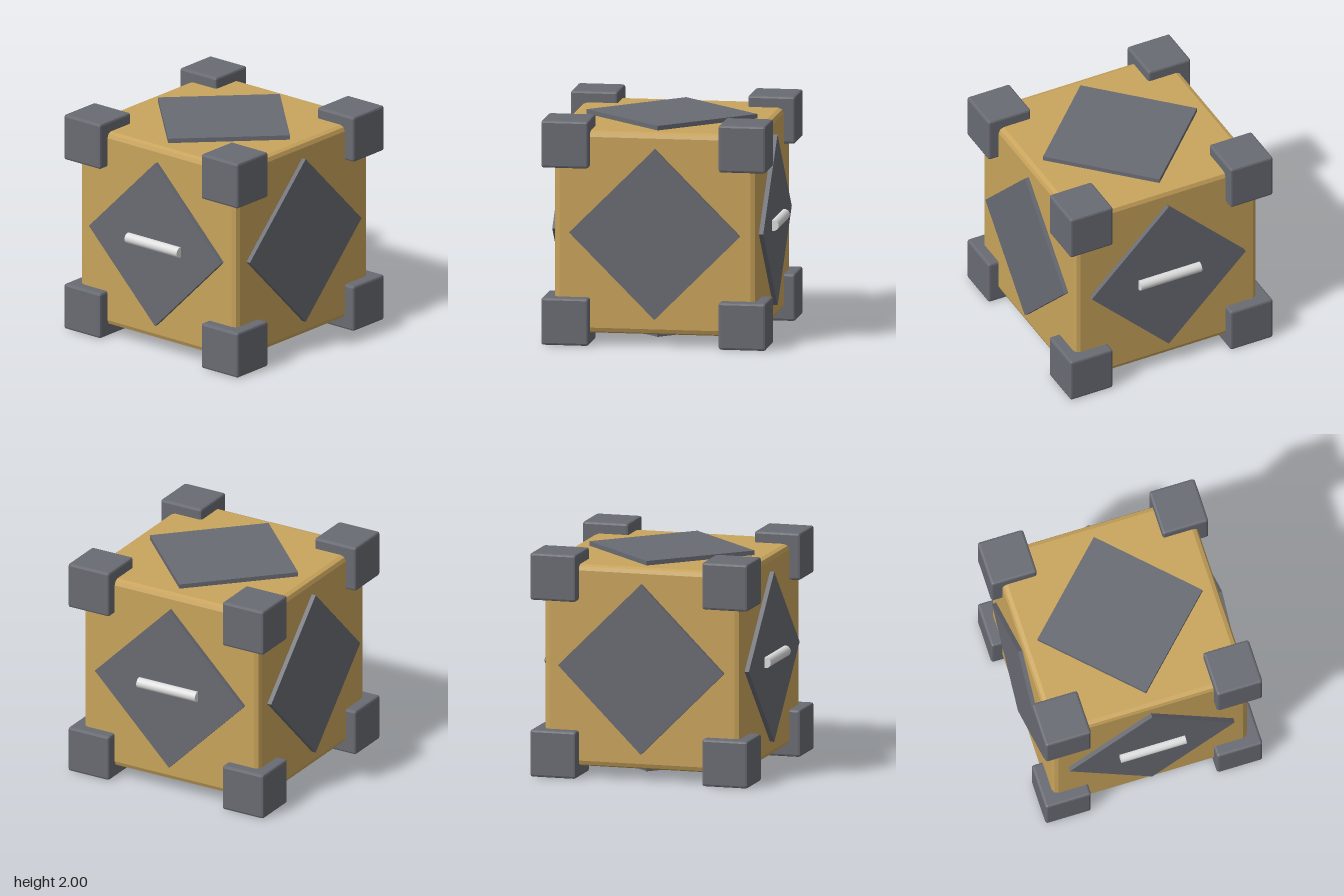
import * as THREE from 'three';
import { RoundedBoxGeometry } from 'three/addons/geometries/RoundedBoxGeometry.js';

const material = (name, color) => {
  const m = new THREE.MeshStandardMaterial({ color });
  m.name = name;
  return m;
};

// Cube with faceted bevelled edges
function bevelledCube(size, bevel) {
  const geometry = new RoundedBoxGeometry(size, size, size, 1, bevel);
  geometry.computeVertexNormals();
  return geometry;
}

export function createModel() {
  const gold = material('gold', 0xc9a45c);
  const grey = material('slate grey', 0x696b73);
  const silver = material('silver', 0xdedede);

  const crate = new THREE.Group();
  crate.name = 'crate';
  const add = (name, geometry, mat, parent = crate) => {
    const mesh = new THREE.Mesh(geometry, mat);
    mesh.name = name;
    parent.add(mesh);
    return mesh;
  };

  // Main body
  add('body', bevelledCube(1.8, 0.05), gold).position.y = 1;

  // Corner guards
  const cornerGeometry = bevelledCube(0.42, 0.02);
  for (const x of [-1, 1]) for (const y of [-1, 1]) for (const z of [-1, 1]) {
    add('cornerGuard', cornerGeometry, grey).position.set(x * 0.79, 1 + y * 0.79, z * 0.79);
  }

  // Diamond panel on each of the six faces, with handles on front and back
  const side = 0.76 * Math.SQRT2;
  const panelGeometry = new THREE.BoxGeometry(side, side, 0.08).rotateZ(Math.PI / 4);
  const handleGeometry = new THREE.CylinderGeometry(0.048, 0.048, 0.6, 20).rotateZ(Math.PI / 2);
  const q = Math.PI / 2;
  const faces = [
    ['front', 0, 0, true], ['back', 0, Math.PI, true],
    ['left', 0, q, false], ['right', 0, -q, false],
    ['top', -q, 0, false], ['bottom', q, 0, false],
  ];
  for (const [name, rx, ry, hasHandle] of faces) {
    const face = new THREE.Group();
    face.name = name + 'Face';
    face.position.y = 1;
    face.rotation.set(rx, ry, 0);
    crate.add(face);
    add(name + 'Panel', panelGeometry, grey, face).position.z = 0.9;
    if (hasHandle) add(name + 'Handle', handleGeometry, silver, face).position.z = 0.952;
  }
  return crate;
}
